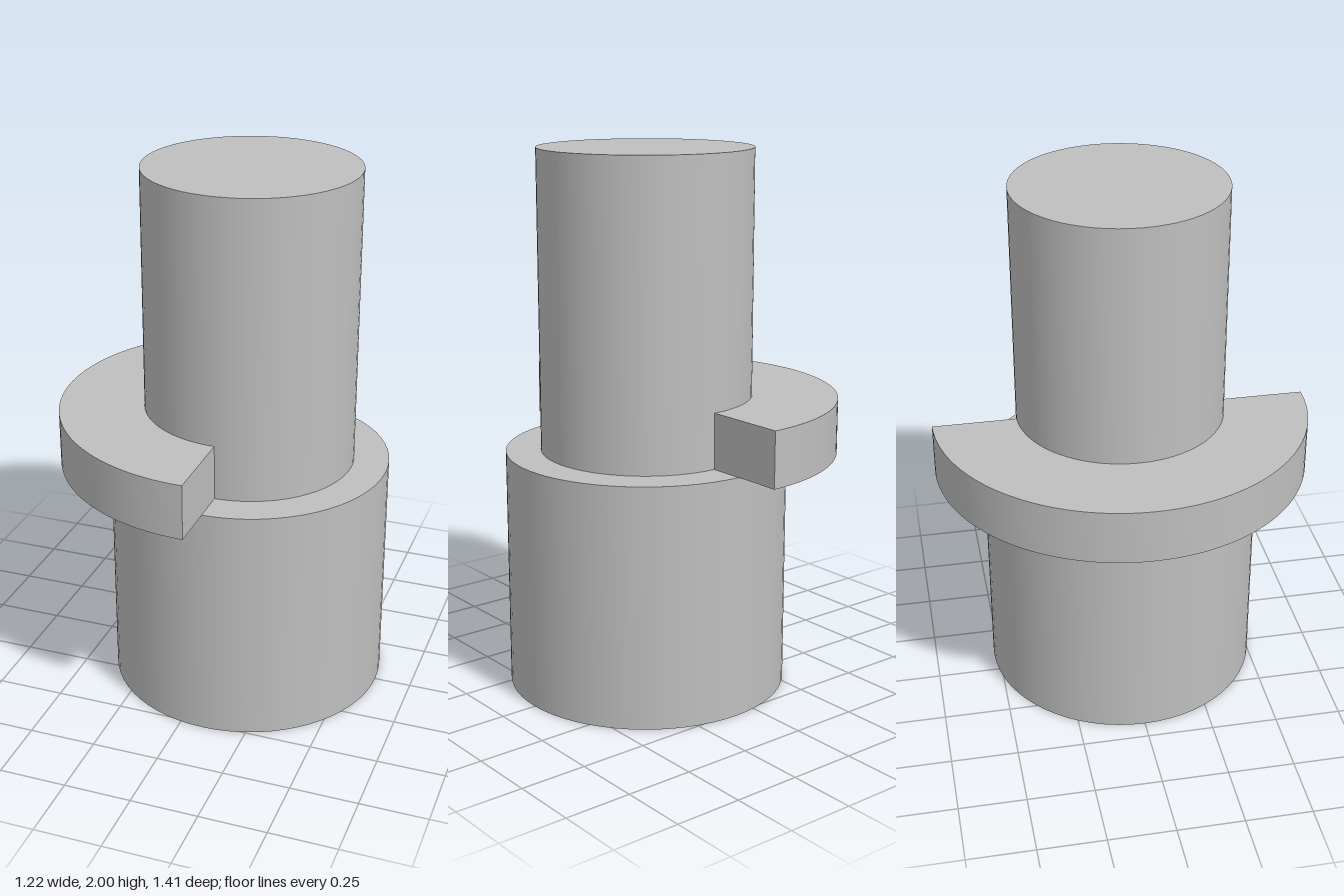
import * as THREE from 'three';
import { toCreasedNormals } from 'three/addons/utils/BufferGeometryUtils.js';

export function createModel() {
  const group = new THREE.Group();
  const grey = new THREE.MeshStandardMaterial({ color: 0xbfbfbf });
  grey.name = 'grey';

  const axisX = 0.092; // shared axis of all parts
  const shoulderY = 0.895, collarTop = 1.1, topY = 2;
  const shaftR = 0.39, baseR = 0.52, collarR = 0.704;

  const add = (name, geometry, y) => {
    const mesh = new THREE.Mesh(geometry, grey);
    mesh.name = name;
    mesh.position.set(axisX, y, 0);
    group.add(mesh);
  };

  // Wide base and narrower shaft
  add('base', new THREE.CylinderGeometry(baseR, baseR, shoulderY, 64), shoulderY / 2);
  add('shaft', new THREE.CylinderGeometry(shaftR, shaftR, topY - shoulderY, 64), (topY + shoulderY) / 2);

  // Half-ring collar resting on the shoulder, on the -x side
  const half = new THREE.Shape();
  half.absarc(0, 0, collarR, Math.PI / 2, Math.PI * 1.5, false);
  half.absarc(0, 0, shaftR, Math.PI * 1.5, Math.PI / 2, true);
  half.closePath();
  const collar = new THREE.ExtrudeGeometry(half, {
    depth: collarTop - shoulderY, bevelEnabled: false, curveSegments: 32,
  });
  collar.rotateX(-Math.PI / 2);
  add('halfCollar', toCreasedNormals(collar, 0.6), shoulderY);

  return group;
}
